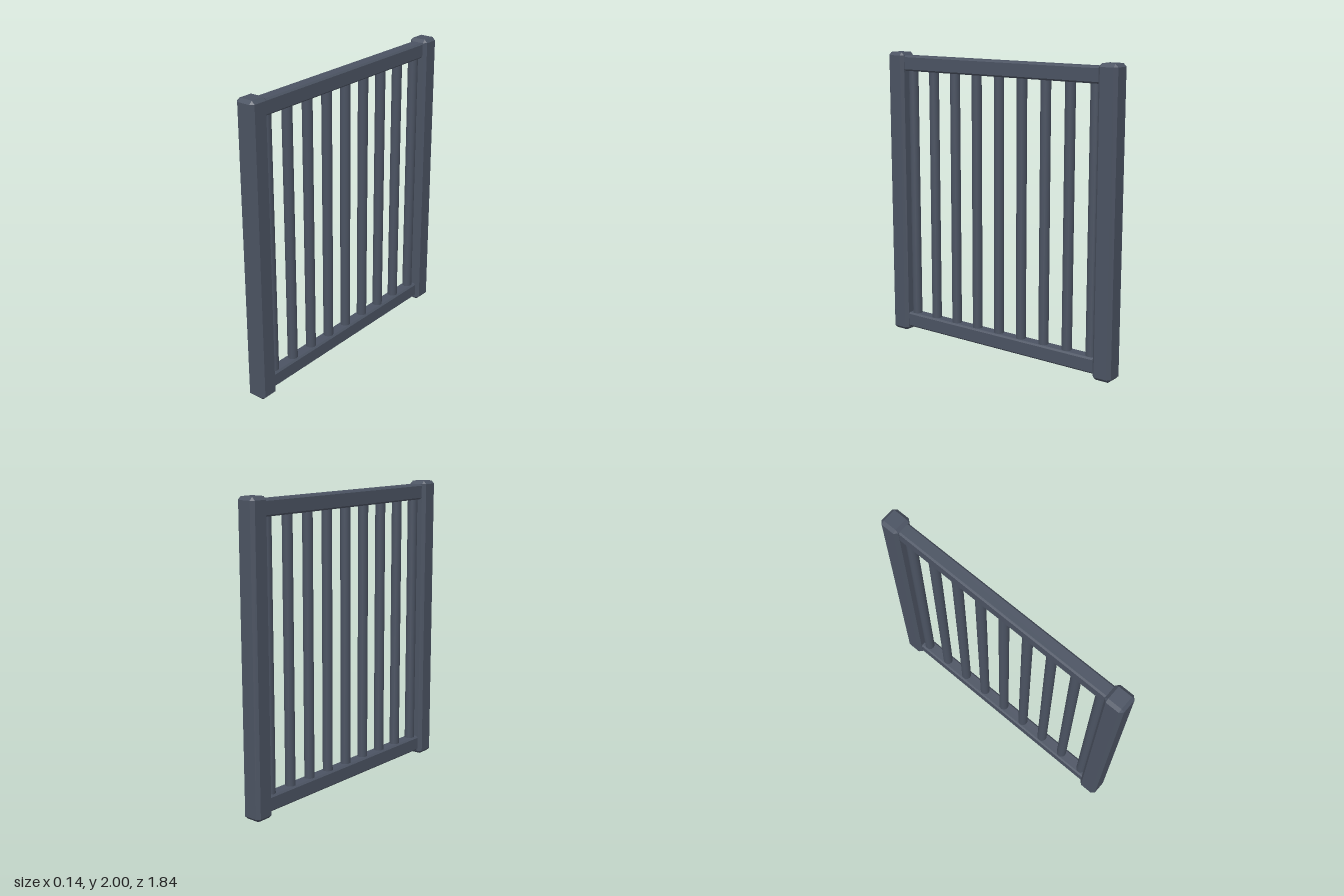
import * as THREE from 'three';
import { ConvexGeometry } from 'three/addons/geometries/ConvexGeometry.js';

// Box with every edge cut back by c
function chamferBox(w, h, d, c) {
  const pts = [];
  const x = w / 2, y = h / 2, z = d / 2;
  for (const sx of [-1, 1]) for (const sy of [-1, 1]) for (const sz of [-1, 1]) {
    pts.push(
      new THREE.Vector3(sx * x, sy * (y - c), sz * (z - c)),
      new THREE.Vector3(sx * (x - c), sy * y, sz * (z - c)),
      new THREE.Vector3(sx * (x - c), sy * (y - c), sz * z)
    );
  }
  return new ConvexGeometry(pts);
}

export function createModel() {
  const group = new THREE.Group();
  group.name = 'railingPanel';
  const metal = new THREE.MeshStandardMaterial({ color: 0x4b5362 });
  metal.name = 'slateMetal';

  const add = (name, geometry, y, z) => {
    const mesh = new THREE.Mesh(geometry, metal);
    mesh.name = name;
    mesh.position.set(0, y, z);
    group.add(mesh);
  };

  // End posts
  const post = chamferBox(0.136, 2, 0.136, 0.021);
  add('frontPost', post, 1, 0.852);
  add('backPost', post, 1, -0.852);

  // Top and bottom rails, ending inside the posts
  const rail = chamferBox(0.09, 0.105, 1.64, 0.011);
  add('topRail', rail, 1.927, 0);
  add('bottomRail', rail, 0.081, 0);

  // Nine round bars between the rails
  const bar = new THREE.CylinderGeometry(0.034, 0.034, 1.8, 12);
  for (let i = -4; i <= 4; i++) add('bar' + (i + 5), bar, 1.004, i * 0.1848);

  return group;
}
